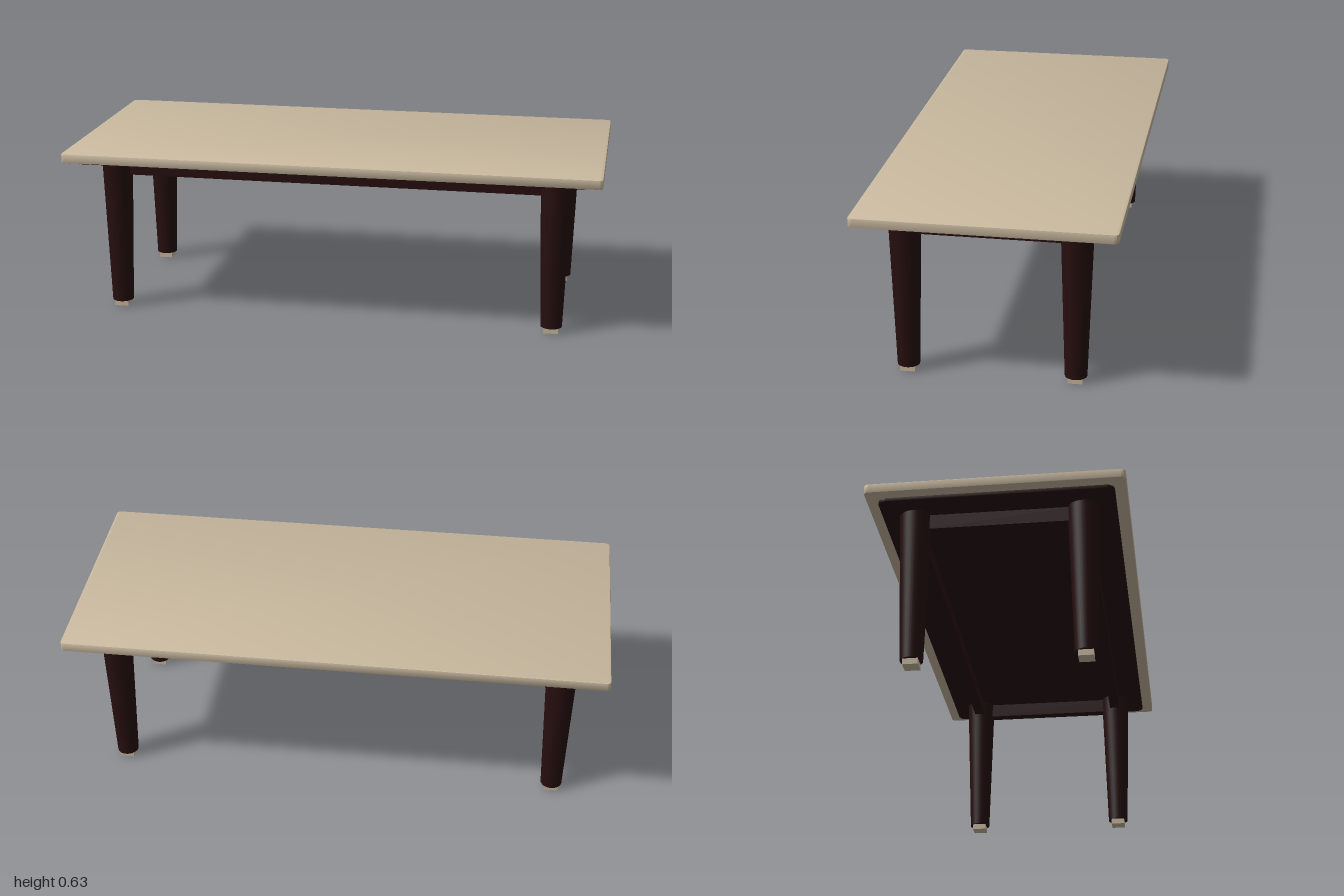
import * as THREE from 'three';
import { toCreasedNormals } from 'three/addons/utils/BufferGeometryUtils.js';

const LEG_X = 0.83, LEG_Z = 0.3;

// Horizontal slab with rounded corners and softly bevelled edges
function slab(width, depth, y0, y1, radius, bevel) {
  const x = width / 2, z = depth / 2, r = radius;
  const shape = new THREE.Shape();
  shape.absarc(x - r, z - r, r, 0, Math.PI / 2);
  shape.absarc(-x + r, z - r, r, Math.PI / 2, Math.PI);
  shape.absarc(-x + r, -z + r, r, Math.PI, Math.PI * 1.5);
  shape.absarc(x - r, -z + r, r, Math.PI * 1.5, Math.PI * 2);
  const geometry = new THREE.ExtrudeGeometry(shape, {
    depth: y1 - y0 - 2 * bevel, curveSegments: 8,
    bevelThickness: bevel, bevelSize: bevel, bevelOffset: -bevel, bevelSegments: 2,
  });
  geometry.rotateX(-Math.PI / 2).translate(0, y0 + bevel, 0);
  return toCreasedNormals(geometry, 0.6);
}

export function createModel() {
  const model = new THREE.Group();
  model.name = 'table';
  const paleWood = new THREE.MeshStandardMaterial({ color: 0xc8b89e });
  paleWood.name = 'paleWood';
  const darkWood = new THREE.MeshStandardMaterial({ color: 0x260e0e });
  darkWood.name = 'darkWood';

  const add = (name, geometry, material, x = 0, y = 0, z = 0) => {
    const mesh = new THREE.Mesh(geometry, material);
    mesh.name = name;
    mesh.position.set(x, y, z);
    model.add(mesh);
  };

  // Top and the thin panel beneath it
  add('tableTop', slab(2, 0.916, 0.601, 0.635, 0.016, 0.003), paleWood);
  add('underPanel', slab(1.914, 0.832, 0.588, 0.601, 0.03, 0.001), darkWood);

  // Tapered round legs with small square feet
  const legGeometry = new THREE.CylinderGeometry(0.058, 0.04, 0.568, 32);
  const footGeometry = new THREE.BoxGeometry(0.054, 0.022, 0.054);
  for (const [sideX, xName] of [[1, 'Left'], [-1, 'Right']]) {
    for (const [sideZ, zName] of [[1, 'front'], [-1, 'back']]) {
      const x = sideX * LEG_X, z = sideZ * LEG_Z;
      add(`${zName}${xName}Leg`, legGeometry, darkWood, x, 0.306, z);
      add(`${zName}${xName}Foot`, footGeometry, paleWood, x, 0.011, z);
    }
  }

  // Apron rails joining the legs, just clear of the panel
  const longRail = new THREE.BoxGeometry(2 * LEG_X - 0.04, 0.055, 0.04);
  const shortRail = new THREE.BoxGeometry(0.04, 0.055, 2 * LEG_Z - 0.04);
  for (const side of [1, -1]) {
    add(side > 0 ? 'frontRail' : 'backRail', longRail, darkWood, 0, 0.5575, side * LEG_Z);
    add(side > 0 ? 'leftRail' : 'rightRail', shortRail, darkWood, side * LEG_X, 0.5575, 0);
  }
  return model;
}
